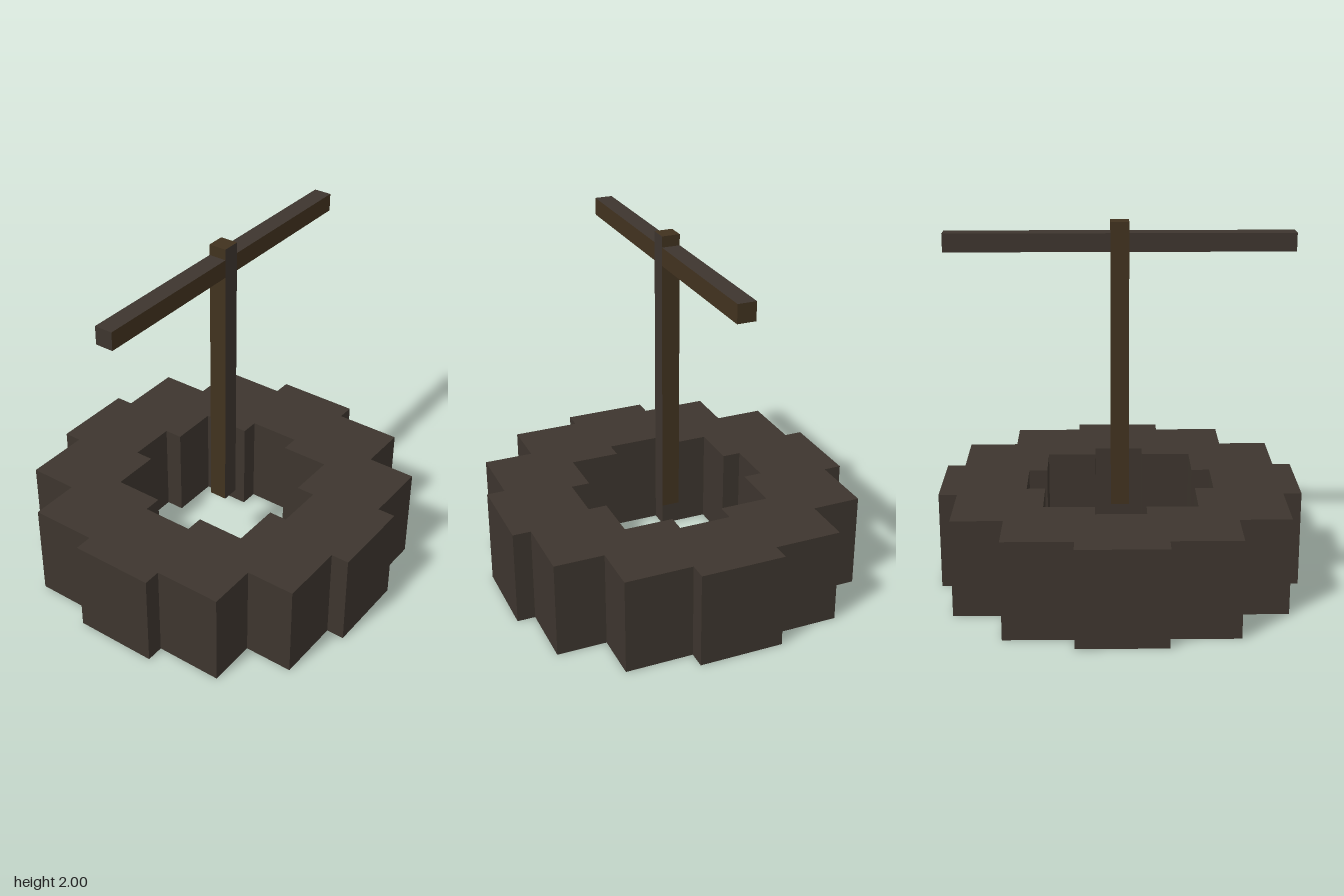
import * as THREE from 'three';

const stone = new THREE.MeshStandardMaterial({ color: 0x3d352e });
stone.name = 'darkStone';
const wood = new THREE.MeshStandardMaterial({ color: 0x41321f });
wood.name = 'darkWood';

// Mirrors the stepped outline of one quadrant into a closed four-way outline.
function steppedOutline(quarter) {
  const mirror = (sx, sy) => quarter.map(([x, y]) => new THREE.Vector2(x * sx, y * sy));
  return [
    ...mirror(1, 1),
    ...mirror(-1, 1).reverse(),
    ...mirror(-1, -1),
    ...mirror(1, -1).reverse(),
  ];
}

function beam(name, size, position, materials) {
  const mesh = new THREE.Mesh(new THREE.BoxGeometry(...size), materials);
  mesh.name = name;
  mesh.position.set(...position);
  return mesh;
}

export function createModel() {
  const model = new THREE.Group();
  model.name = 'steppedRingWithCrossbar';

  // Stepped ring base, open through the middle
  const outer = [[0.99, 0.235], [0.89, 0.235], [0.89, 0.61], [0.613, 0.61],
    [0.613, 0.885], [0.24, 0.885], [0.24, 0.985]];
  const inner = [[0.515, 0.145], [0.413, 0.145], [0.413, 0.42], [0.137, 0.42], [0.137, 0.523]];
  const shape = new THREE.Shape(steppedOutline(outer));
  shape.holes.push(new THREE.Path(steppedOutline(inner)));
  const ringGeometry = new THREE.ExtrudeGeometry(shape, { depth: 0.54, bevelEnabled: false });
  ringGeometry.rotateX(-Math.PI / 2);
  const ring = new THREE.Mesh(ringGeometry, stone);
  ring.name = 'ringBase';
  model.add(ring);

  // Upright post, hanging slightly into the ring opening
  const postBottom = 0.41;
  model.add(beam('post', [0.1, 2 - postBottom, 0.1], [0, (2 + postBottom) / 2, 0],
    [wood, wood, wood, wood, stone, wood]));

  // Crossbar arms on either side of the post
  for (const side of [1, -1]) {
    model.add(beam(side > 0 ? 'leftArm' : 'rightArm', [0.89, 0.1, 0.1], [side * 0.495, 1.89, 0],
      [wood, stone, stone, wood, wood, stone]));
  }
  return model;
}
